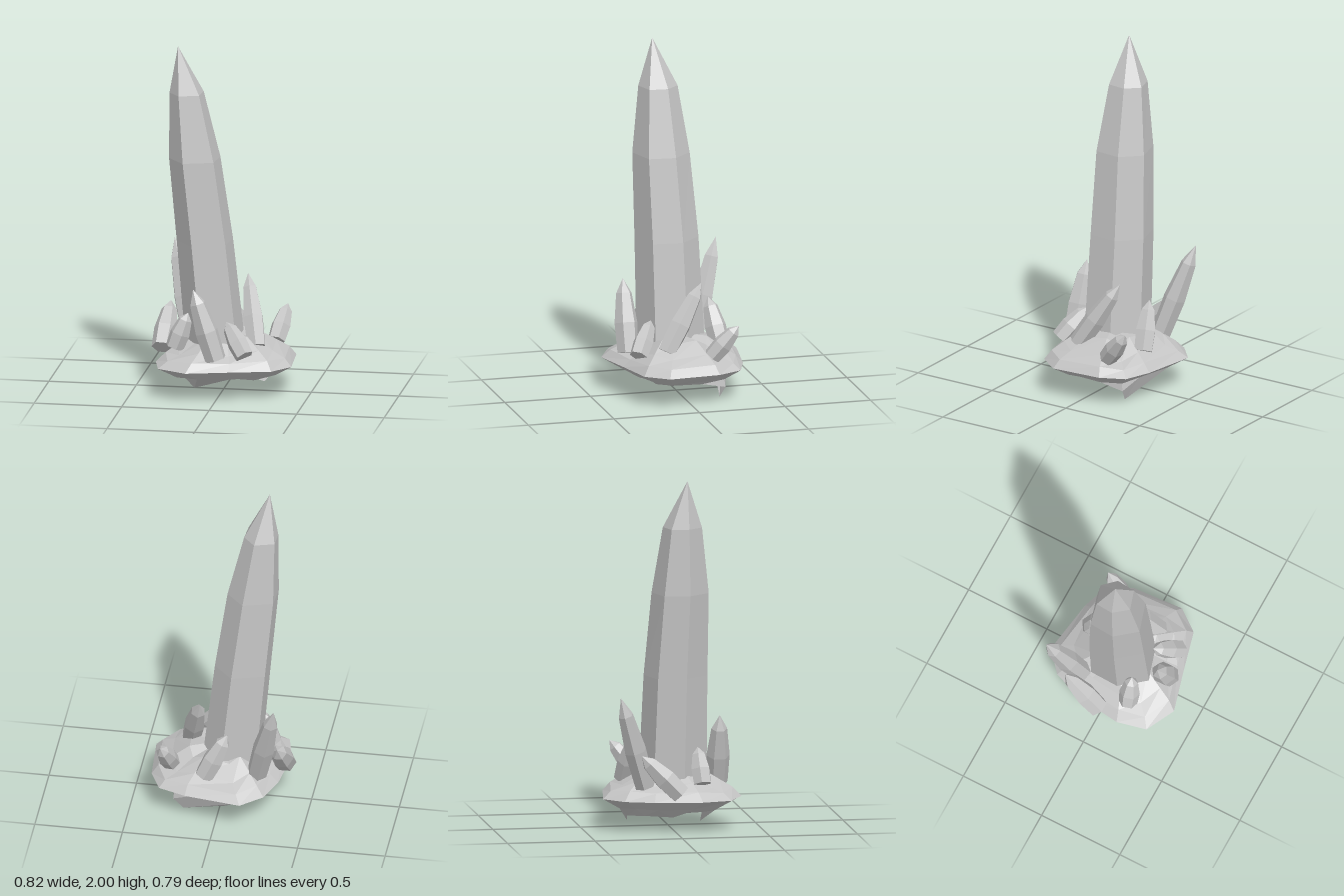
import * as THREE from 'three';

const stone = new THREE.MeshStandardMaterial({ color: 0xc4c4c4, flatShading: true, side: THREE.DoubleSide });
stone.name = 'pale grey stone';

// Skin a stack of rings, lowest first; a ring of one point closes the end
function loft(name, rings) {
  const pos = [];
  const tri = (...pts) => pts.forEach((p) => pos.push(p.x, p.y, p.z));
  for (let i = 0; i < rings.length - 1; i++) {
    const lo = rings[i], hi = rings[i + 1];
    const n = Math.max(lo.length, hi.length);
    for (let j = 0; j < n; j++) {
      const a = lo[j % lo.length], b = lo[((j + 1) % n) % lo.length];
      const c = hi[j % hi.length], d = hi[((j + 1) % n) % hi.length];
      if (lo.length > 1) tri(a, c, b);
      if (hi.length > 1) tri(b, c, d);
    }
  }
  const geo = new THREE.BufferGeometry();
  geo.setAttribute('position', new THREE.Float32BufferAttribute(pos, 3));
  geo.computeVertexNormals();
  const mesh = new THREE.Mesh(geo, stone);
  mesh.name = name;
  return mesh;
}

const V = (x, y, z) => new THREE.Vector3(x, y, z);

// Six-sided crystal running from base to tip, swelling in the middle
function smallCrystal(name, base, tip, radius, turn) {
  const from = V(...base), axis = V(...tip).sub(from);
  const q = new THREE.Quaternion().setFromUnitVectors(V(0, 1, 0), axis.clone().normalize());
  const ring = (t, s) => Array.from({ length: 6 }, (_, k) => {
    const a = turn + (k * Math.PI) / 3;
    return V(Math.cos(a) * radius * s, 0, Math.sin(a) * radius * s)
      .applyQuaternion(q).add(from).addScaledVector(axis, t);
  });
  return loft(name, [[from.clone()], ring(0, 0.92), ring(0.4, 1), ring(0.8, 0.68), [V(...tip)]]);
}

// Tall leaning main crystal
function mainCrystal() {
  const hex = [[0.135, 0.12], [-0.045, 0.18], [-0.15, 0.04], [-0.14, -0.13], [0.04, -0.185], [0.15, -0.06]];
  const ring = ([y, cx, cz, sx, sz]) => hex.map(([x, z]) => V(cx + x * sx, y, cz + z * sz));
  const levels = [
    [0.2, -0.04, 0.02, 1.08, 1.03],
    [0.87, -0.105, 0.028, 1.02, 0.96],
    [1.35, -0.16, 0.045, 0.93, 0.86],
    [1.73, -0.205, 0.05, 0.62, 0.59],
  ];
  return loft('mainCrystal', [[V(-0.04, 0.2, 0.02)], ...levels.map(ring), [V(-0.25, 2, 0.07)]]);
}

// Hollow rock with a sharp rim, a domed top and a jagged open underside
function rockBase() {
  const rim = [
    [0.41, 0.145], [0.315, 0.27], [0.08, 0.33], [-0.155, 0.395], [-0.325, 0.31], [-0.365, 0.14],
    [-0.33, -0.13], [-0.27, -0.29], [-0.15, -0.395], [0.17, -0.345], [0.325, -0.29], [0.39, -0.15],
  ];
  const jag = [
    [0.26, 0.1, 0.09], [0.2, 0.1, 0.17], [0.03, 0.12, 0.22], [-0.14, 0.04, 0.16], [-0.2, 0.1, 0.16],
    [-0.22, 0.1, 0.07], [-0.18, 0.07, 0], [-0.16, 0.08, -0.16], [-0.04, 0.065, -0.24],
    [0.2, 0, -0.2], [0.255, 0.07, -0.22], [0.27, 0.1, -0.08],
  ];
  const bumps = [0, 0.02, -0.01, 0.01, -0.02, 0.015];
  const ring = (s, y, bump) => rim.map(([x, z], k) => V(x * s + 0.01, y + bumps[k % 6] * bump, z * s));
  const edge = rim.map(([x, z]) => V(x, 0.18, z));
  return loft('rockBase', [
    jag.map((p) => V(...p)), ring(0.74, 0.12, 0.3), edge,
    ring(0.88, 0.225, 0.4), ring(0.7, 0.26, 1), ring(0.45, 0.32, 1), [V(0.02, 0.34, 0)],
  ]);
}

export function createModel() {
  const group = new THREE.Group();
  group.name = 'crystalCluster';
  group.add(rockBase(), mainCrystal());

  // Ring of small crystals: name, base, tip, radius, turn
  [
    ['backLeftCrystal', [-0.215, 0.26, -0.165], [-0.335, 0.785, -0.325], 0.064, 0.3],
    ['sideCrystal', [-0.35, 0.23, 0.015], [-0.335, 0.45, -0.205], 0.066, 0],
    ['backCrystal', [0.075, 0.26, -0.24], [-0.05, 0.52, -0.2], 0.062, 0.5],
    ['backRightCrystal', [0.278, 0.26, -0.135], [0.32, 0.44, -0.28], 0.056, 0.2],
    ['rightCrystal', [0.205, 0.28, 0.11], [0.12, 0.65, -0.115], 0.061, 0.4],
    ['frontRightCrystal', [0.162, 0.26, 0.262], [0.04, 0.43, 0.158], 0.058, 0.1],
    ['frontCrystal', [0, 0.24, 0.28], [-0.13, 0.64, 0.275], 0.067, 0.5],
    ['frontLeftCrystal', [-0.255, 0.27, 0.155], [-0.18, 0.47, 0.14], 0.058, 0.2],
  ].forEach((c) => group.add(smallCrystal(...c)));
  return group;
}
